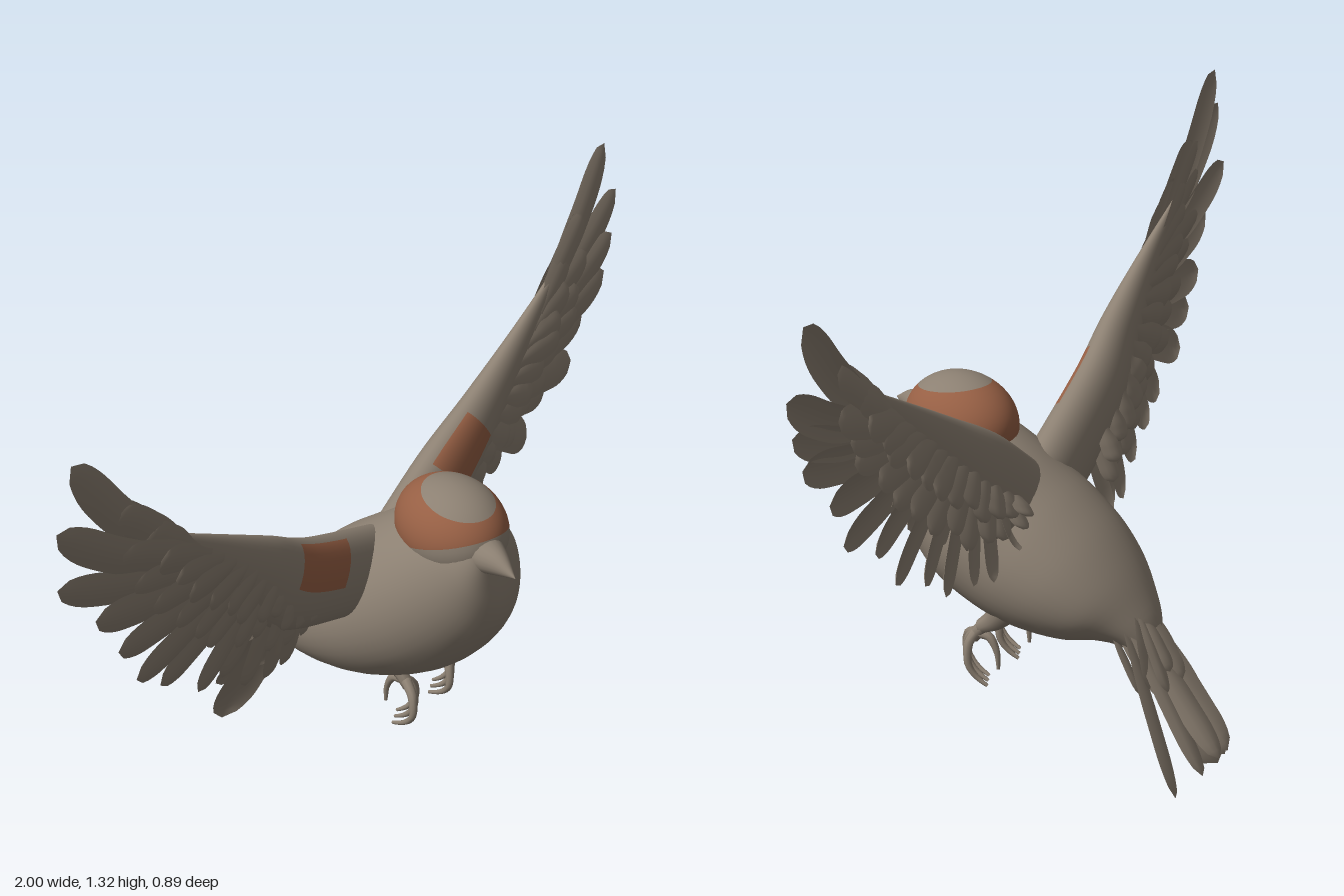
import * as THREE from 'three';
import { mergeVertices } from 'three/addons/utils/BufferGeometryUtils.js';

const V = (x, y, z) => new THREE.Vector3(x, y, z);
const rad = THREE.MathUtils.degToRad;
const lerp = THREE.MathUtils.lerp;
const spline = pts => new THREE.CatmullRomCurve3(pts, false, 'catmullrom', 0.5);

const plumage = new THREE.MeshStandardMaterial({ color: 0x8c8072, side: THREE.DoubleSide });
plumage.name = 'plumage grey brown';
const rust = new THREE.MeshStandardMaterial({ color: 0x965f44, side: THREE.DoubleSide });
rust.name = 'rust brown';

// Smooth surface from point(u, v); tint(u, v) picks the material of each cell.
function surface(point, nu, nv, tint = () => 0) {
  const pos = [], cells = [[], []];
  for (let i = 0; i <= nu; i++)
    for (let j = 0; j <= nv; j++) pos.push(...point(i / nu, j / nv).toArray());
  for (let i = 0; i < nu; i++)
    for (let j = 0; j < nv; j++) {
      const a = i * (nv + 1) + j, c = a + nv + 1;
      cells[tint((i + 0.5) / nu, (j + 0.5) / nv)].push(a, c, a + 1, a + 1, c, c + 1);
    }
  let g = new THREE.BufferGeometry();
  g.setAttribute('position', new THREE.Float32BufferAttribute(pos, 3));
  g.setIndex([...cells[0], ...cells[1]]);
  g = mergeVertices(g, 1e-5);
  g.addGroup(0, cells[0].length, 0);
  g.addGroup(cells[0].length, cells[1].length, 1);
  g.computeVertexNormals();
  return g;
}

// Elliptical loft through sections [centre, half axis A, half axis B].
function loft(sections, nu, nv, tint) {
  const [c, a, b] = [0, 1, 2].map(k => spline(sections.map(s => s[k])));
  return surface((u, v) => {
    const t = v * Math.PI * 2;
    return c.getPoint(u).addScaledVector(a.getPoint(u), Math.cos(t)).addScaledVector(b.getPoint(u), Math.sin(t));
  }, nu, nv, tint);
}

function add(parent, name, geometry, material = [plumage, rust]) {
  const m = new THREE.Mesh(geometry, material);
  m.name = name;
  parent.add(m);
}

// Thin cambered blade with a narrow root and a rounded tip.
function feather(root, tip, halfWidth, normal, bow = V(0, 0, 0), twist = 0.2) {
  const dir = tip.clone().sub(root);
  const side = dir.clone().cross(normal).normalize().addScaledVector(normal, twist);
  return surface((u, v) => {
    const s = v * 2 - 1;
    let w = halfWidth * lerp(0.5, 1, THREE.MathUtils.smoothstep(u, 0, 0.55));
    if (u > 0.75) w *= Math.sqrt(Math.max(0, 1 - ((u - 0.75) / 0.25) ** 2));
    return root.clone().addScaledVector(dir, u).addScaledVector(bow, Math.sin(Math.PI * u))
      .addScaledVector(side, s * w).addScaledVector(normal, (1 - s * s) * w * 0.22);
  }, 20, 4);
}

// Body rows: top y, top z, bottom y, bottom z, centre x, half width
const BODY = [
  [0.735, 0.372, 0.73, 0.372, 0.05, 0.002], [0.765, 0.355, 0.69, 0.376, 0.05, 0.045],
  [0.785, 0.33, 0.655, 0.383, 0.055, 0.075], [0.79, 0.285, 0.61, 0.387, 0.06, 0.102],
  [0.79, 0.235, 0.56, 0.38, 0.068, 0.124], [0.775, 0.18, 0.505, 0.355, 0.072, 0.148],
  [0.745, 0.12, 0.445, 0.31, 0.076, 0.172], [0.708, 0.06, 0.39, 0.25, 0.08, 0.19],
  [0.665, 0, 0.35, 0.18, 0.08, 0.196], [0.62, -0.06, 0.32, 0.10, 0.08, 0.196],
  [0.56, -0.125, 0.307, 0.02, 0.08, 0.183], [0.49, -0.18, 0.305, -0.06, 0.08, 0.154],
  [0.42, -0.222, 0.315, -0.12, 0.08, 0.11], [0.36, -0.25, 0.31, -0.18, 0.085, 0.07],
  [0.29, -0.26, 0.275, -0.235, 0.1, 0.03],
];

// Feather tips (distance from the middle, height), outermost first
const TIPS = {
  left: [[0.945, 1.27], [0.995, 1.14], [0.95, 1.05], [0.91, 0.97], [0.85, 0.88], [0.8, 0.775], [0.72, 0.73],
    [0.645, 0.63], [0.57, 0.6], [0.49, 0.54], [0.42, 0.54], [0.34, 0.515], [0.28, 0.57]],
  right: [[0.93, 1.32], [1, 1.22], [0.98, 1.08], [0.895, 0.97], [0.82, 0.85], [0.78, 0.765], [0.69, 0.69],
    [0.58, 0.61], [0.475, 0.575], [0.4, 0.51], [0.285, 0.46], [0.22, 0.46], [0.16, 0.475]],
};

function makeWing(name, s) {
  const wing = new THREE.Group();
  wing.name = name + 'Wing';
  // arm rows: x, y, z, half height, half thickness
  const arm = [[s > 0 ? 0.14 : 0.01, 0.605, 0.06, 0.105, 0.06], [0.275, 0.715, 0.075, 0.102, 0.056],
    [0.405, 0.82, 0.085, 0.075, 0.042], [0.55, 0.932, 0.088, 0.046, 0.024], [0.7, 1.048, 0.085, 0.014, 0.006]];
  const sections = arm.map(([x, y, z, h, d]) => [V(s * x, y, z), V(-0.58 * s * h, 0.81 * h, 0), V(0, 0, d)]);
  // rust shoulder patch on the front face: along the arm from, to, and how far down
  const [from, to, down] = s > 0 ? [0.22, 0.45, 0.29] : [0.13, 0.34, 0.24];
  const patch = (u, v) => (u > from && u < to && v > 0.05 && v < down ? 1 : 0);
  add(wing, name + 'WingArm', loft(sections, 50, 36, patch));

  const path = spline(sections.map(r => r[0]));
  const depth = spline(sections.map(r => r[2]));
  const tipZ = s > 0 ? [0.05, 0.06] : [0.09, 0.11];
  TIPS[name].forEach(([x, y], i) => {
    const k = i / 12, t = lerp(0.86, 0.16, k);
    const root = path.getPoint(t);
    const tip = V(s * x, y, i < 2 ? tipZ[i] : lerp(0.085, -0.02, k * k) + (i % 2) * 0.012);
    const bow = V(s * 0.012, -0.026, 0).multiplyScalar(Math.max(0, 1 - i / 7));
    const width = i < 3 ? 0.037 : lerp(0.038, 0.052, k);
    add(wing, 'flightFeather', feather(root, tip, width, V(0, 0, 1), bow), plumage);
    // two rows of coverts on each face
    for (const face of [1, -1])
      for (const [reach, lift] of [[0.62, 0.45], [0.38, 0.85]]) {
        const r = root.clone();
        r.z += face * depth.getPoint(t).z * lift;
        const end = root.clone().lerp(tip, reach - (i % 3) * 0.03).addScaledVector(bow, 0.8);
        end.z += face * (0.005 + lerp(0.004, 0.06, Math.sqrt(k)) * lift);
        add(wing, 'covertFeather', feather(r, end, 0.034, V(0, 0, face), undefined, face * 0.2), plumage);
      }
  });
  return wing;
}

function makeHead() {
  const head = new THREE.Group();
  head.name = 'head';
  // grey crown, rust band that drops towards the nape, grey cheeks
  const skull = surface((u, v) => {
    const p = v * Math.PI * 2, f = Math.cos(p);
    const crown = rad(40 + 11 * f), band = rad(99 - 27 * f);
    const th = u < 0.25 ? crown * u / 0.25
      : u < 0.6 ? lerp(crown, band, (u - 0.25) / 0.35) : lerp(band, Math.PI, (u - 0.6) / 0.4);
    return V(0.113 * Math.sin(th) * Math.sin(p), 0.107 * Math.cos(th), (f < 0 ? 0.146 : 0.138) * Math.sin(th) * f);
  }, 40, 48, u => (u > 0.25 && u < 0.6 ? 1 : 0));
  add(head, 'skull', skull);
  const ring = (y, z, w, h) => [V(0, y, z), V(0, h, 0), V(w, 0, 0)];
  add(head, 'beak', loft([ring(-0.008, 0.07, 0.062, 0.056), ring(-0.008, 0.125, 0.044, 0.04),
    ring(-0.006, 0.175, 0.023, 0.025), ring(-0.012, 0.224, 0.001, 0.001)], 12, 20), plumage);
  head.position.set(0.068, 0.745, 0.238);
  head.rotation.y = -0.356;
  return head;
}

function makeLeg(name, x) {
  const leg = new THREE.Group();
  leg.name = name;
  // tapered limb along points [dx, y, z]
  const limb = (part, pts, r0, r1) => {
    const curve = spline(pts.map(([dx, y, z]) => V(x + dx, y, z)));
    const rows = Array.from({ length: 9 }, (_, i) => {
      const t = curve.getTangent(i / 8), r = lerp(r0, r1, i / 8);
      const a = V(1, 0, 0).addScaledVector(t, -t.x).normalize();
      return [curve.getPoint(i / 8), a.clone().multiplyScalar(r), a.cross(t).multiplyScalar(r)];
    });
    add(leg, part, loft(rows, 16, 8), plumage);
  };
  limb('thigh', [[0, 0.38, 0.06], [0, 0.345, 0.09], [0, 0.32, 0.125]], 0.035, 0.016);
  limb('shank', [[0, 0.34, 0.09], [0, 0.32, 0.12], [0, 0.29, 0.145]], 0.018, 0.014);
  for (const d of [-1, 0, 1])
    limb('toe', [[0, 0.305, 0.135], [d * 0.02, 0.285, 0.156 - d * 0.012], [d * 0.03, 0.24, 0.16 - d * 0.018],
      [d * 0.026, 0.208, 0.138 - d * 0.015], [d * 0.022, 0.19, 0.108 - d * 0.01]], 0.013, 0.004);
  limb('hindToe', [[0, 0.305, 0.13], [0, 0.298, 0.102], [0, 0.265, 0.085], [0, 0.225, 0.082]], 0.013, 0.004);
  return leg;
}

function makeTail() {
  const tail = new THREE.Group();
  tail.name = 'tail';
  const tips = [[0, 0.005, -0.365], [0.045, 0.06, -0.4], [0.1, 0.105, -0.43], [0.18, 0.13, -0.445],
    [0.255, 0.125, -0.44], [0.325, 0.1, -0.41]];
  tips.forEach(([x, y, z], i) => {
    const root = V(0.055 + i * 0.014, 0.38, -0.187), tip = V(x, y, z);
    // outer feathers roll down at the fan's edges
    const up = V(lerp(0.65, -0.35, i / 5), 0.64, -0.77).normalize();
    add(tail, 'tailFeather', feather(root, tip, i ? 0.048 : 0.054, up, undefined, 0.1), plumage);
    // shorter coverts above and below the tail root
    for (const face of [1, -1]) {
      const start = root.clone().addScaledVector(up, face * 0.035);
      const end = root.clone().lerp(tip, 0.5 - (i % 2) * 0.08).addScaledVector(up, face * 0.012);
      add(tail, 'tailCovert', feather(start, end, 0.032, up, undefined, 0.1), plumage);
    }
  });
  return tail;
}

export function createModel() {
  const bird = new THREE.Group();
  bird.name = 'bird';
  const rows = BODY.map(([ty, tz, by, bz, x, w]) =>
    [V(x, (ty + by) / 2, (tz + bz) / 2), V(0, (ty - by) / 2, (tz - bz) / 2), V(w, 0, 0)]);
  add(bird, 'body', loft(rows, 56, 40), plumage);
  bird.add(makeHead(), makeWing('left', 1), makeWing('right', -1), makeTail());
  bird.add(makeLeg('leftLeg', 0.195), makeLeg('rightLeg', 0.05));
  return bird;
}
